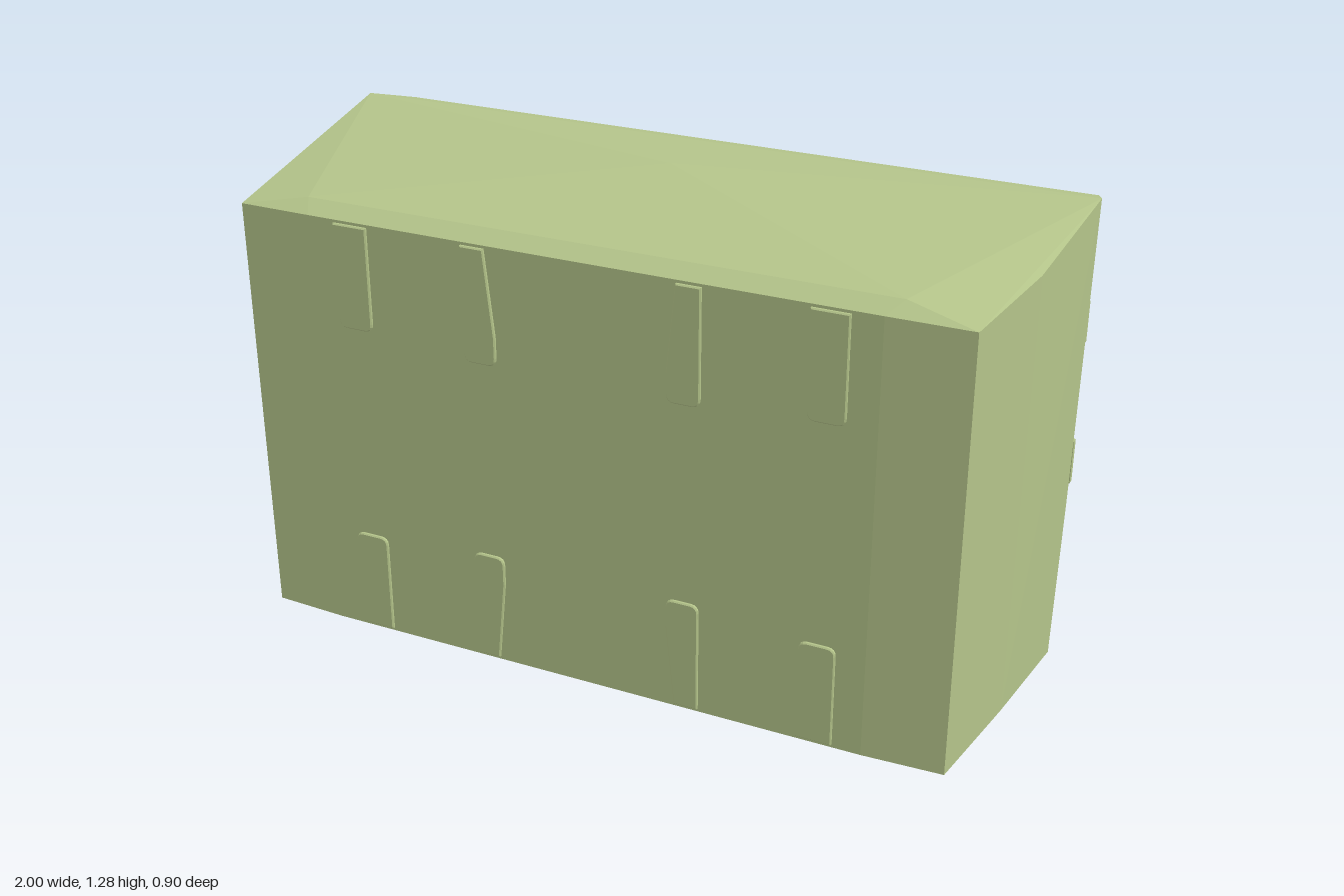
import * as THREE from 'three';
import { ConvexGeometry } from 'three/addons/geometries/ConvexGeometry.js';

const material = new THREE.MeshStandardMaterial({ color: 0xb4c48a, flatShading: true });

function part(name, geometry) {
  const mesh = new THREE.Mesh(geometry, material);
  mesh.name = name;
  return mesh;
}

// Faceted body: mirrored corner points wrapped in a convex skin
function bodyGeometry() {
  const corners = [
    // front panel, with a slightly proud middle
    [0.92, 0.085, 0.432], [0.92, 1.2, 0.432],
    [0.72, 0.088, 0.445], [0.72, 1.205, 0.445],
    // narrow bevel above and below the front panel
    [0.75, 0.06, 0.395], [0.75, 1.23, 0.395],
    // slight bulge of the side walls
    [0.965, 0.08, 0.12], [0.968, 1.22, 0.12],
    // widest section
    [0.985, 0.024, -0.27], [1.0, 1.275, -0.27],
    // back panel, leaning and then folding in near the bottom
    [0.955, 0.052, -0.412], [0.96, 1.225, -0.43],
    [0.955, 0.35, -0.452],
  ];
  const points = [];
  for (const [x, y, z] of corners) {
    for (const s of [-1, 1]) points.push(new THREE.Vector3(s * x, y, z));
  }
  // shallow peaks in the middle of the roof and the underside
  points.push(new THREE.Vector3(0, 1.285, -0.05), new THREE.Vector3(0, 0, -0.05));
  return new ConvexGeometry(points);
}

// Flat strap hanging down from y = 0, rounded at its free end;
// taper narrows its inner edge towards the rim
function strapGeometry(inner, outer, length, taper) {
  const r = 0.018;
  const shape = new THREE.Shape();
  shape.moveTo(inner + taper, 0);
  shape.lineTo(inner, -length * 0.75);
  shape.lineTo(inner, -length + r);
  shape.quadraticCurveTo(inner, -length, inner + r, -length);
  shape.lineTo(outer - r, -length);
  shape.quadraticCurveTo(outer, -length, outer, -length + r);
  shape.lineTo(outer, 0);
  shape.closePath();
  return new THREE.ExtrudeGeometry(shape, {
    depth: 0.014, bevelEnabled: true, bevelThickness: 0.003, bevelSize: 0.003,
    bevelSegments: 1, curveSegments: 4,
  });
}

export function createModel() {
  const model = new THREE.Group();
  model.name = 'pack';
  model.add(part('body', bodyGeometry()));

  // Four straps along the top and four along the bottom of the front
  const straps = new THREE.Group();
  straps.name = 'frontStraps';
  const kinds = [
    { name: 'outerStrap', geometry: strapGeometry(0.56, 0.645, 0.26, 0) },
    { name: 'innerStrap', geometry: strapGeometry(0.222, 0.3, 0.285, 0.022) },
  ];
  for (const { name, geometry } of kinds) {
    for (const side of [-1, 1]) {
      for (const top of [true, false]) {
        const strap = part(name, geometry);
        // a half turn swaps both x and y, so mirror by scale
        strap.scale.set(side, top ? 1 : -1, 1);
        strap.position.set(0, top ? 1.195 : 0.1, 0.436);
        straps.add(strap);
      }
    }
  }
  model.add(straps);

  // Small tabs at the side edges of the back
  for (const side of [-1, 1]) {
    for (const [y, height] of [[0.89, 0.11], [0.5, 0.12]]) {
      const tab = part('backTab', new THREE.BoxGeometry(0.03, height, 0.02));
      tab.position.set(side * 0.948, y, -0.438);
      model.add(tab);
    }
  }
  return model;
}
